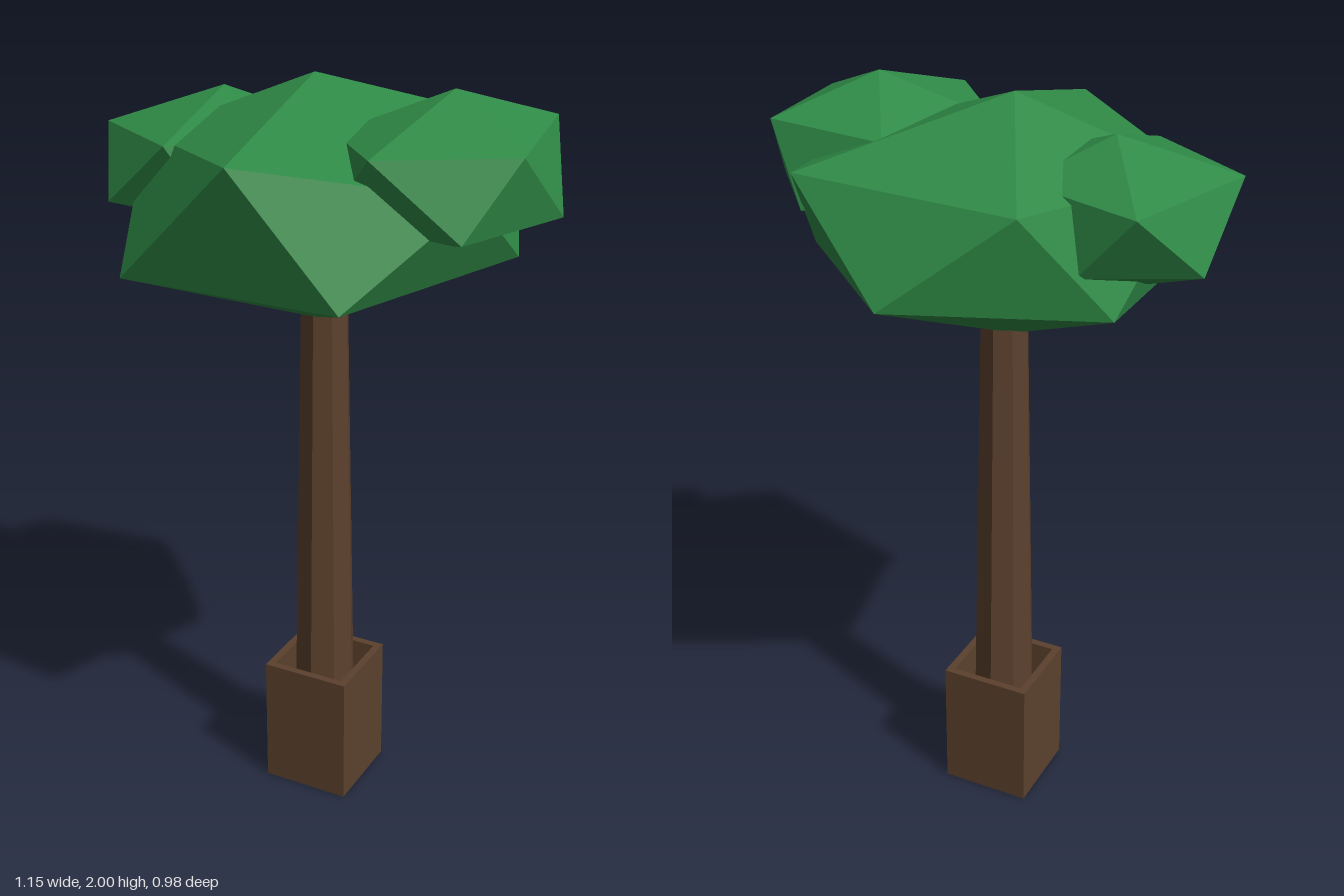
import * as THREE from 'three';

// Irregular twenty-sided clump: top point, two rings of five, bottom point
function clumpGeometry(top, upper, lower, bottom) {
  const pos = [];
  const tri = (a, b, c) => pos.push(...a, ...b, ...c);
  const n = upper.length;
  for (let i = 0; i < n; i++) {
    const j = (i + 1) % n;
    tri(top, upper[j], upper[i]);
    tri(upper[i], upper[j], lower[i]);
    tri(lower[i], upper[j], lower[j]);
    tri(bottom, lower[i], lower[j]);
  }
  const geo = new THREE.BufferGeometry();
  geo.setAttribute('position', new THREE.Float32BufferAttribute(pos, 3));
  geo.computeVertexNormals();
  return geo;
}

export function createModel() {
  const model = new THREE.Group();
  model.name = 'pottedTree';

  const bark = new THREE.MeshStandardMaterial({ color: 0x5c412d, flatShading: true });
  bark.name = 'brown wood';
  const leaf = new THREE.MeshStandardMaterial({ color: 0x2f8a46, flatShading: true });
  leaf.name = 'green leaves';

  const add = (parent, name, geo, mat) => {
    const mesh = new THREE.Mesh(geo, mat);
    mesh.name = name;
    parent.add(mesh);
    return mesh;
  };

  // Trunk and planter share one turned base
  const base = new THREE.Group();
  base.name = 'base';
  base.position.set(-0.022, 0, -0.007);
  base.rotation.y = THREE.MathUtils.degToRad(25);
  model.add(base);

  // Tapered eight-sided trunk
  const trunkHeight = 1.46;
  add(base, 'trunk', new THREE.CylinderGeometry(0.062, 0.091, trunkHeight, 8), bark)
    .position.y = trunkHeight / 2 + 0.01;

  // Planter of four boards, open above and below
  const side = 0.245, height = 0.37, wall = 0.02;
  for (let i = 0; i < 4; i++) {
    const a = i * Math.PI / 2;
    const board = add(base, 'planterBoard', new THREE.BoxGeometry(side - wall, height, wall), bark);
    const out = (side - wall) / 2, shift = wall / 2;
    board.rotation.y = a;
    board.position.set(
      Math.sin(a) * out - Math.cos(a) * shift,
      height / 2,
      Math.cos(a) * out + Math.sin(a) * shift
    );
  }

  // Main crown
  add(model, 'mainFoliage', clumpGeometry(
    [-0.05, 2, 0],
    [[0.18, 1.88, 0.425], [-0.38, 1.83, 0.28], [-0.36, 1.83, -0.245], [0.16, 1.85, -0.49], [0.5, 1.8, -0.03]],
    [[-0.195, 1.54, 0.485], [-0.45, 1.56, -0.03], [-0.145, 1.6, -0.48], [0.36, 1.58, -0.31], [0.41, 1.57, 0.285]],
    [-0.04, 1.38, 0.01]), leaf);

  // Smaller clump on the -x side
  add(model, 'rightFoliage', clumpGeometry(
    [-0.3, 1.94, 0.095],
    [[-0.165, 1.85, 0.365], [-0.495, 1.845, 0.32], [-0.54, 1.835, -0.06], [-0.22, 1.85, -0.12], [-0.06, 1.85, 0.08]],
    [[-0.36, 1.68, 0.41], [-0.578, 1.67, 0.12], [-0.4, 1.67, -0.11], [-0.1, 1.67, -0.05], [-0.09, 1.67, 0.27]],
    [-0.36, 1.58, 0.14]), leaf);

  // Larger clump on the +x side
  add(model, 'leftFoliage', clumpGeometry(
    [0.3, 2, -0.14],
    [[0.385, 1.9, 0.187], [0.1, 1.89, 0.06], [0.08, 1.9, -0.29], [0.365, 1.915, -0.413], [0.575, 1.9, -0.1]],
    [[0.21, 1.72, 0.17], [0.02, 1.72, -0.1], [0.24, 1.72, -0.42], [0.52, 1.72, -0.29], [0.545, 1.72, 0.05]],
    [0.3, 1.63, -0.12]), leaf);

  return model;
}
